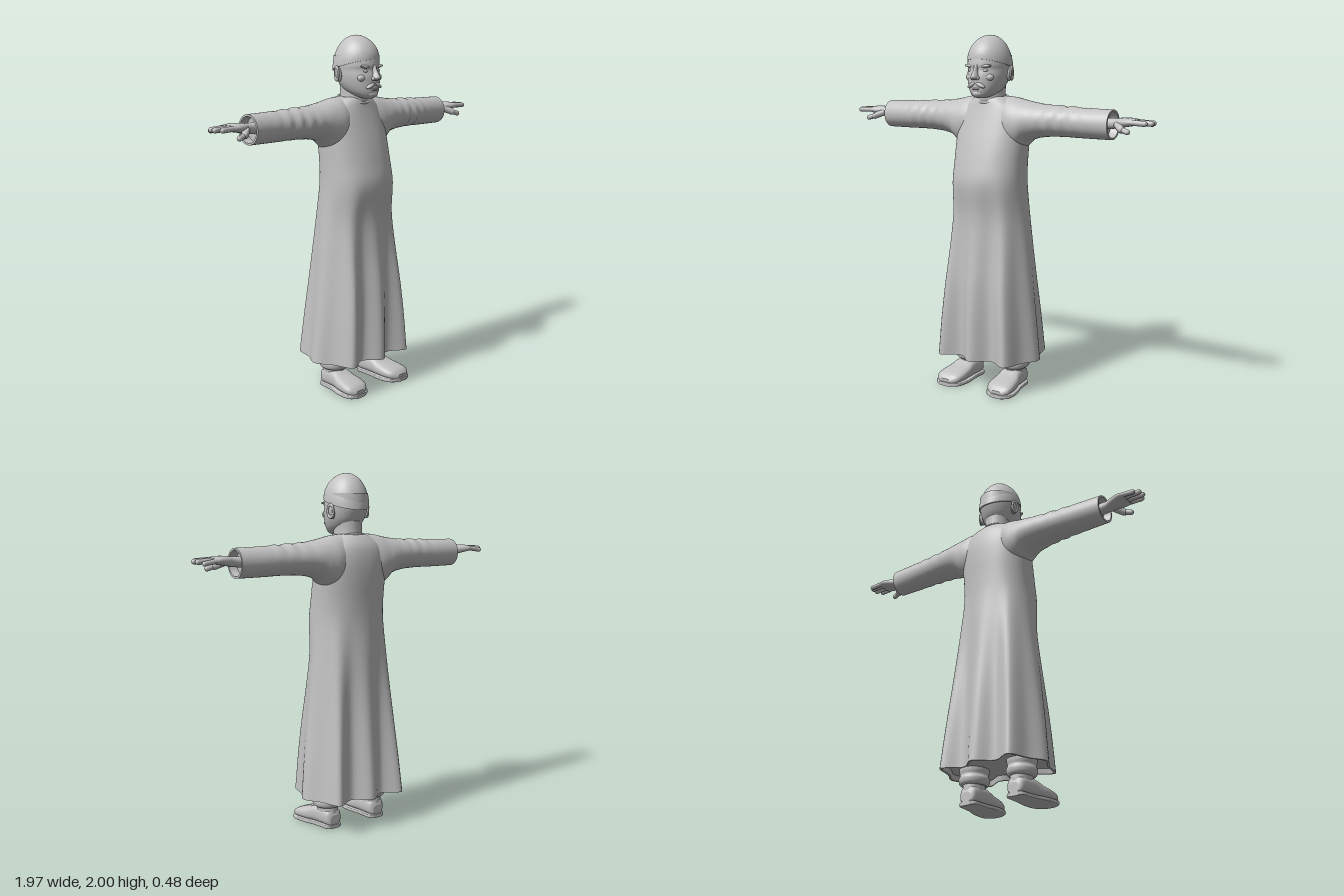
import * as THREE from 'three';

const grey = new THREE.MeshStandardMaterial({ color: 0xc2c2c2 });
grey.name = 'plain grey';

// Catmull-Rom interpolation of rows of section numbers
function smooth(rows, steps = 4) {
  const out = [], at = (i) => rows[Math.max(0, Math.min(rows.length - 1, i))];
  for (let i = 0; i < rows.length - 1; i++) {
    for (let s = 0; s < steps; s++) {
      const t = s / steps;
      out.push(rows[i].map((b, k) => {
        const a = at(i - 1)[k], c = at(i + 1)[k], d = at(i + 2)[k];
        return 0.5 * (2 * b + (c - a) * t + (2 * a - 5 * b + 4 * c - d) * t * t + (3 * b - a - 3 * c + d) * t * t * t);
      }));
    }
  }
  out.push(rows[rows.length - 1]);
  return out;
}

// Skin joining closed rings of points; repeated rings give a sharp edge
function loft(rings) {
  const n = rings[0].length, idx = [];
  for (let i = 0; i < rings.length - 1; i++) {
    for (let j = 0; j < n; j++) {
      const a = i * n + j, b = i * n + (j + 1) % n;
      idx.push(a, a + n, b, b, a + n, b + n);
    }
  }
  const g = new THREE.BufferGeometry();
  g.setAttribute('position', new THREE.Float32BufferAttribute(rings.flat(2), 3));
  g.setIndex(idx);
  g.computeVertexNormals();
  return g;
}

// Elliptical ring: u along the axis, p and q across it, each from lo to hi
function ring(axis, [u, pLo, pHi, qLo, qHi], n = 32, power = 1) {
  const soft = (v) => Math.sign(v) * Math.abs(v) ** power;
  return Array.from({ length: n }, (_, j) => {
    const t = (j / n) * Math.PI * 2;
    const p = (pLo + pHi) / 2 + soft(Math.cos(t)) * (pHi - pLo) / 2;
    const q = (qLo + qHi) / 2 + soft(Math.sin(t)) * (qHi - qLo) / 2;
    return axis === 'y' ? [p, u, q] : axis === 'x' ? [u, q, p] : [q, p, u];
  });
}
const pole = ([u, a, b, c, d], at = u) => [at, (a + b) / 2, (a + b) / 2, (c + d) / 2, (c + d) / 2];

// Closed elliptical body through the given rows
function body(axis, rows, n = 32, power = 1) {
  const s = smooth(rows), e = s[s.length - 1];
  return loft([pole(s[0]), s[0], s[0], ...s, e, pole(e)].map((r) => ring(axis, r, n, power)));
}

function ball(x, y, z, rx, ry, rz, tilt = 0) {
  return new THREE.SphereGeometry(1, 20, 14).scale(rx, ry, rz).rotateZ(tilt).translate(x, y, z);
}

function capsule(a, b, r, flat = 1) {
  const p = new THREE.Vector3(...a), d = new THREE.Vector3(...b).sub(p);
  const q = new THREE.Quaternion().setFromUnitVectors(new THREE.Vector3(0, 1, 0), d.clone().normalize());
  const g = new THREE.CapsuleGeometry(r, d.length(), 6, 12).applyQuaternion(q);
  return g.scale(1, flat, 1).translate(p.x + d.x / 2, p.y + d.y / 2, p.z + d.z / 2);
}

function mirrored(geometry) {
  const g = geometry.clone(), i = g.index.array;
  g.scale(-1, 1, 1);
  for (let k = 0; k < i.length; k += 3) [i[k], i[k + 1]] = [i[k + 1], i[k]];
  g.computeVertexNormals();
  return g;
}

function robeGeometry() {
  // Folded hem outline of unit size, blended into an ellipse higher up
  const q = [[1, 0], [0.84, 0.42], [0.7, 0.93], [0.33, 0.7], [0, 1]];
  const half = [...q, ...q.slice(0, 4).reverse().map(([x, z]) => [-x, z])];
  const outline = [...half, ...half.slice(1, 8).reverse().map(([x, z]) => [x, -z])];
  const curve = new THREE.CatmullRomCurve3(outline.map(([x, z]) => new THREE.Vector3(x, 0, z)), true, 'catmullrom', 0.5);
  const n = 96;
  const fold = ([y, zf, zb, rx, w]) => Array.from({ length: n }, (_, j) => {
    const t = (j / n) * Math.PI * 2, f = curve.getPoint(j / n);
    const x = THREE.MathUtils.lerp(Math.sign(Math.cos(t)) * Math.abs(Math.cos(t)) ** 0.9, f.x, w);
    const z = THREE.MathUtils.lerp(Math.sign(Math.sin(t)) * Math.abs(Math.sin(t)) ** 0.9, f.z, w);
    return [x * rx, y, (zf + zb) / 2 + z * (zf - zb) / 2];
  });
  // height, front z, back z, half width, fold strength
  const rows = smooth([
    [0.18, 0.24, -0.237, 0.315, 1], [0.4, 0.234, -0.22, 0.293, 0.85], [0.6, 0.222, -0.203, 0.27, 0.68],
    [0.8, 0.2, -0.185, 0.248, 0.48], [1.0, 0.187, -0.17, 0.227, 0.25], [1.18, 0.207, -0.157, 0.216, 0.06],
    [1.3, 0.185, -0.156, 0.214, 0], [1.42, 0.153, -0.16, 0.217, 0], [1.52, 0.122, -0.157, 0.215, 0],
    [1.6, 0.098, -0.14, 0.185, 0], [1.65, 0.085, -0.105, 0.12, 0], [1.665, 0.075, -0.085, 0.09, 0],
  ]);
  const inner = [0.18, 0.228, -0.226, 0.303, 1], roof = [0.21, 0.22, -0.218, 0.295, 1];
  return loft([[0.21, 0, 0, 0, 0], roof, roof, inner, inner, rows[0], rows[0], ...rows, [1.665, 0, 0, 0, 0]].map(fold));
}

function sleeveGeometry() {
  // x, back z, front z, bottom y, top y
  const rows = smooth([
    [0.06, -0.12, 0.08, 1.4, 1.668], [0.14, -0.142, 0.1, 1.37, 1.662], [0.2, -0.142, 0.1, 1.385, 1.65],
    [0.25, -0.136, 0.093, 1.428, 1.64], [0.33, -0.125, 0.083, 1.45, 1.63], [0.45, -0.112, 0.072, 1.458, 1.624],
    [0.6, -0.105, 0.062, 1.457, 1.618], [0.745, -0.097, 0.056, 1.457, 1.616],
  ], 8);
  // Soft wrinkles around the elbow
  for (const r of rows) {
    const k = Math.exp(-(((r[0] - 0.45) / 0.11) ** 2));
    r[2] += 0.007 * k * Math.sin(r[0] * 85);
    r[4] += 0.004 * k * Math.sin(r[0] * 75 + 1);
  }
  const e = rows[rows.length - 1];
  const lip = [0.745, -0.086, 0.045, 1.468, 1.605], deep = [0.7, -0.082, 0.041, 1.472, 1.601];
  return loft([pole(rows[0]), ...rows, e, lip, lip, deep, deep, pole(deep)].map((r) => ring('x', r, 40)));
}

function capGeometry() {
  const rows = [];
  for (let i = 0; i <= 14; i++) {
    const a = (i / 14) * Math.PI / 2, c = Math.cos(a);
    rows.push([1.855 + 0.145 * Math.sin(a), -0.122 * c, 0.122 * c, 0.022 - 0.138 * c, 0.022 + 0.138 * c]);
  }
  const rim = [1.855, -0.108, 0.108, -0.1, 0.145];
  const g = loft([rim, rows[0], rows[0], ...rows].map((r) => ring('y', r, 48)));
  // Rim sits higher on the brow than at the nape
  const p = g.attributes.position;
  for (let i = 0; i < p.count; i++) {
    const drop = (p.getZ(i) - 0.13) * 0.26 * (2 - p.getY(i)) / 0.145;
    p.setY(i, p.getY(i) + drop + 0.008 * (2 - p.getY(i)) / 0.145);
  }
  g.computeVertexNormals();
  return g;
}

export function createModel() {
  const model = new THREE.Group();
  const add = (name, g) => {
    const m = new THREE.Mesh(g, grey);
    m.name = name;
    model.add(m);
  };
  const pair = (name, g) => {
    add('left' + name, g);
    add('right' + name, mirrored(g));
  };

  add('robe', robeGeometry());
  pair('Sleeve', sleeveGeometry());

  // Neck, collar and head
  add('neck', body('y', [[1.58, -0.085, 0.085, -0.085, 0.085], [1.64, -0.082, 0.082, -0.08, 0.09],
    [1.68, -0.076, 0.076, -0.075, 0.095], [1.75, -0.08, 0.08, -0.075, 0.095]]));
  add('collar', new THREE.TorusGeometry(0.086, 0.008, 8, 40).rotateX(Math.PI / 2 + 0.2).translate(0, 1.65, 0.003));
  add('head', body('y', [[1.66, -0.03, 0.03, 0.08, 0.145], [1.672, -0.056, 0.056, 0.03, 0.16], [1.7, -0.084, 0.084, -0.035, 0.167],
    [1.74, -0.103, 0.103, -0.075, 0.168], [1.78, -0.112, 0.112, -0.096, 0.167], [1.815, -0.115, 0.115, -0.108, 0.159],
    [1.84, -0.117, 0.117, -0.113, 0.163], [1.89, -0.115, 0.115, -0.11, 0.154]], 48));
  add('cap', capGeometry());

  // Face
  add('nose', body('y', [[1.758, -0.014, 0.014, 0.14, 0.18], [1.77, -0.022, 0.022, 0.13, 0.2], [1.785, -0.018, 0.018, 0.13, 0.197],
    [1.81, -0.012, 0.012, 0.13, 0.181], [1.84, -0.013, 0.013, 0.13, 0.168]], 16));
  add('lowerLip', ball(0, 1.709, 0.162, 0.024, 0.007, 0.012));
  add('chin', ball(0, 1.684, 0.147, 0.035, 0.02, 0.022));
  pair('Nostril', ball(0.017, 1.768, 0.168, 0.01, 0.01, 0.014));
  pair('Moustache', ball(0.027, 1.731, 0.157, 0.032, 0.012, 0.018, -0.45));
  pair('Brow', ball(0.047, 1.833, 0.144, 0.034, 0.009, 0.016, 0.08).rotateY(0.04));
  pair('Eye', ball(0.045, 1.809, 0.14, 0.019, 0.009, 0.012));
  pair('Cheek', ball(0.06, 1.772, 0.125, 0.03, 0.022, 0.022));
  pair('Ear', ball(0.117, 1.79, 0.0, 0.012, 0.042, 0.024, -0.15));
  pair('EarRim', new THREE.TorusGeometry(0.02, 0.006, 8, 20).scale(1, 1.7, 1).rotateY(Math.PI / 2 + 0.3).translate(0.127, 1.794, -0.002));

  // Hands
  pair('Palm', body('x', [[0.69, -0.055, 0.018, 1.512, 1.572], [0.76, -0.053, 0.018, 1.518, 1.572], [0.8, -0.064, 0.036, 1.525, 1.577],
    [0.85, -0.077, 0.047, 1.534, 1.578], [0.885, -0.074, 0.044, 1.54, 1.572]], 24, 0.85));
  [[-0.06, 0.945, 0.0135], [-0.031, 0.966, 0.0145], [0.0, 0.97, 0.0145], [0.03, 0.947, 0.0145]].forEach(([z, tip, r], i) => {
    const end = [tip, 1.554 - (i === 0 ? 0.008 : 0), z * 1.1 - 0.002];
    pair('Finger' + (i + 1), capsule([0.86, 1.558, z], end, r));
  });
  pair('ThumbBase', capsule([0.79, 1.54, 0.02], [0.825, 1.522, 0.05], 0.02));
  pair('Thumb', capsule([0.825, 1.522, 0.05], [0.865, 1.51, 0.058], 0.0145));

  // Trouser cuffs, ankles and shoes
  pair('TrouserCuff', body('y', [[0.118, 0.09, 0.222, -0.07, 0.07], [0.13, 0.079, 0.236, -0.085, 0.082],
    [0.155, 0.075, 0.24, -0.09, 0.087], [0.175, 0.083, 0.232, -0.082, 0.08], [0.2, 0.077, 0.238, -0.087, 0.085],
    [0.25, 0.08, 0.235, -0.085, 0.085]]));
  pair('Ankle', body('y', [[0.06, 0.1, 0.21, -0.072, 0.06], [0.1, 0.1, 0.212, -0.073, 0.066], [0.14, 0.098, 0.216, -0.07, 0.068]]));
  // z, bottom y, top y, inner x, outer x
  pair('Shoe', body('z', [[-0.076, 0.012, 0.075, 0.125, 0.185], [-0.06, 0.012, 0.108, 0.105, 0.205], [-0.01, 0.012, 0.118, 0.098, 0.215],
    [0.05, 0.012, 0.117, 0.094, 0.225], [0.1, 0.012, 0.095, 0.09, 0.24], [0.16, 0.012, 0.08, 0.09, 0.25],
    [0.205, 0.012, 0.064, 0.105, 0.245], [0.228, 0.012, 0.04, 0.14, 0.215]], 32, 0.75));
  pair('Sole', body('z', [[-0.08, 0, 0.022, 0.125, 0.188], [-0.06, 0, 0.024, 0.1, 0.21], [-0.01, 0, 0.024, 0.096, 0.217],
    [0.05, 0, 0.024, 0.092, 0.228], [0.1, 0, 0.024, 0.084, 0.245], [0.16, 0, 0.024, 0.083, 0.255],
    [0.21, 0, 0.024, 0.1, 0.25], [0.236, 0, 0.022, 0.145, 0.215]], 24, 0.35));
  return model;
}
